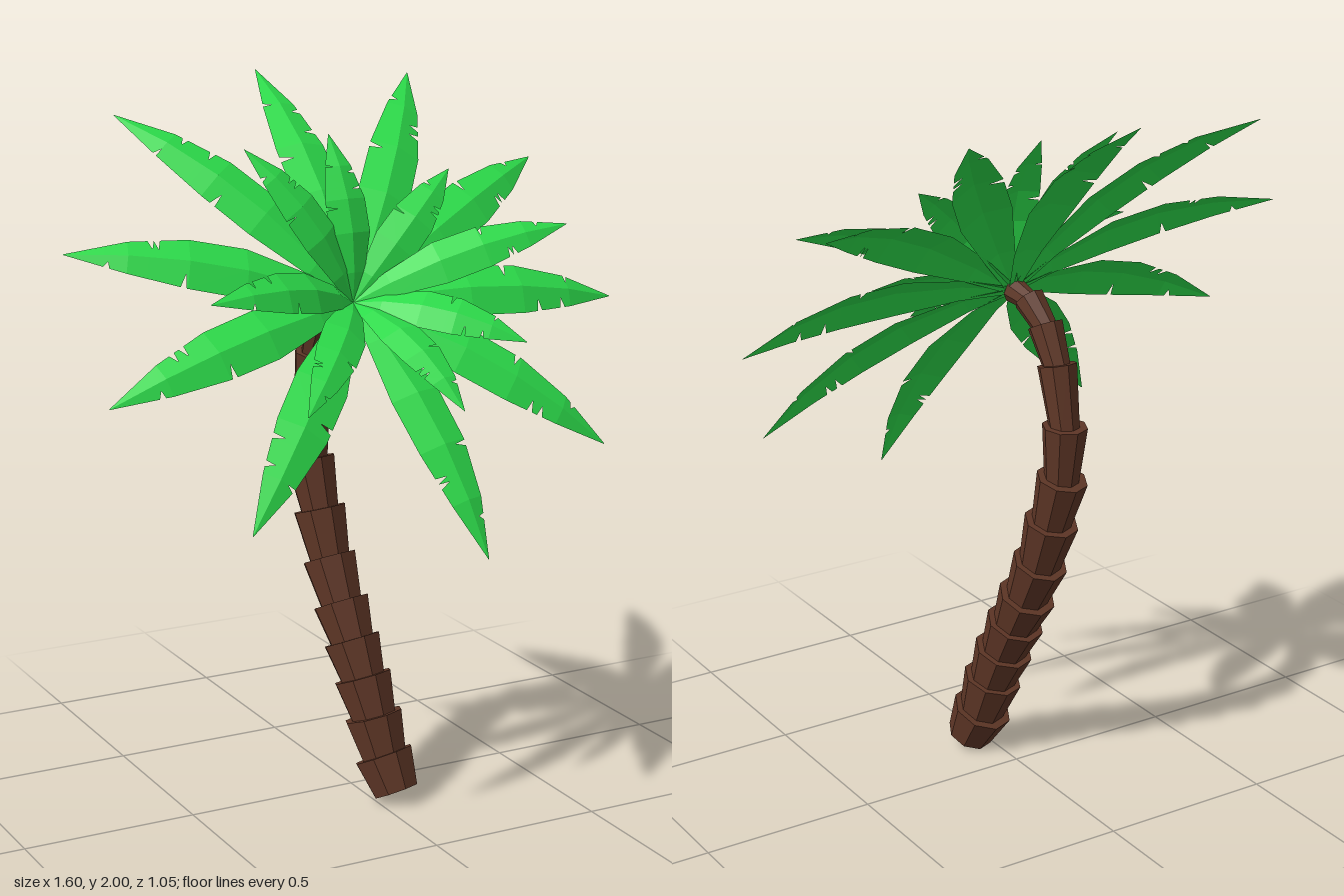
import * as THREE from 'three';

const bark = new THREE.MeshStandardMaterial({ color: 0x5e3626, flatShading: true });
const leaf = new THREE.MeshStandardMaterial({ color: 0x2cdb4a, flatShading: true, side: THREE.DoubleSide });

const crown = new THREE.Vector3(-0.02, 1.425, 0.05);
const crownAxis = new THREE.Vector3(0, 0.6, 0.8).normalize();

// Centre line of the leaning trunk: x, y, z, rim radius
const trunkPath = [
  [0.055, 0.028, 0.17, 0.07], [0.04, 0.115, 0.13, 0.088], [0.025, 0.225, 0.095, 0.086],
  [0.012, 0.33, 0.055, 0.086], [0, 0.43, 0.012, 0.085], [-0.01, 0.53, -0.035, 0.084],
  [-0.02, 0.65, -0.088, 0.08], [-0.03, 0.785, -0.13, 0.078], [-0.04, 0.925, -0.168, 0.073],
  [-0.043, 1.08, -0.178, 0.064], [-0.045, 1.245, -0.138, 0.056], [-0.043, 1.345, -0.085, 0.05],
  [-0.035, 1.405, -0.02, 0.044], [-0.027, 1.42, 0.04, 0.036],
];

// Each trunk ring is a cup that flares towards its upper rim
function makeTrunk() {
  const trunk = new THREE.Group();
  trunk.name = 'trunk';
  for (let i = 0; i < trunkPath.length - 1; i++) {
    const a = new THREE.Vector3(...trunkPath[i]);
    const b = new THREE.Vector3(...trunkPath[i + 1]);
    const dir = b.clone().sub(a);
    const length = dir.length() + 0.012;
    const rim = trunkPath[i + 1][3];
    const ring = new THREE.Mesh(new THREE.CylinderGeometry(rim, rim * 0.76, length, 8), bark);
    ring.name = 'trunkRing';
    dir.normalize();
    ring.quaternion.setFromUnitVectors(new THREE.Vector3(0, 1, 0), dir);
    ring.position.copy(a).addScaledVector(dir, length / 2);
    trunk.add(ring);
  }
  return trunk;
}

// Half width of a blade along its length
const outline = [[0, 0.015], [0.17, 0.045], [0.4, 0.076], [0.6, 0.074], [0.8, 0.048], [1, 0.001]];
function lerp(table, t) {
  const i = Math.max(1, table.findIndex(p => p[0] >= t));
  const [t0, v0] = table[i - 1], [t1, v1] = table[i];
  return v0 + (v1 - v0) * (t - t0) / (t1 - t0);
}

// A drooping blade, folded along its midrib, with a few thin tears in its edges
function makeFrond(tip, width, bow, index) {
  const span = new THREE.Vector3(...tip).sub(crown);
  const length = span.length();
  const dir = span.clone().normalize();
  const side = new THREE.Vector3().crossVectors(dir, crownAxis).normalize();
  const up = new THREE.Vector3().crossVectors(side, dir);
  // The midrib bends only at the main cross-sections
  const bend = outline.map(([t]) => [t, 4 * t * (1 - t) * bow * length]);
  const shift = (index % 3) * 0.03;
  const tears = [[0.55 + shift, -1], [0.66 + shift, 1], [0.8 + shift, -1], [0.76 - shift, 1]];

  // Rows of [t, left share of width, right share of width]
  const rows = outline.map(([t]) => [t, 1, 1]);
  for (const [t, s] of tears) {
    rows.push([t - 0.006, 1, 1], [t, s < 0 ? 0.5 : 1, s > 0 ? 0.5 : 1], [t + 0.014, 1, 1]);
  }
  rows.sort((p, q) => p[0] - q[0]);

  const position = [], index3 = [];
  rows.forEach(([t, left, right], r) => {
    const mid = crown.clone().addScaledVector(span, t).addScaledVector(up, lerp(bend, t));
    const w = lerp(outline, t) * width;
    for (const share of [-left, 0, right]) {
      const p = mid.clone().addScaledVector(side, share * w).addScaledVector(up, -0.28 * Math.abs(share) * w);
      position.push(p.x, p.y, p.z);
    }
    if (r === 0) return;
    for (let c = 0; c < 2; c++) {
      const a = (r - 1) * 3 + c, b = a + 3;
      index3.push(a, a + 1, b, a + 1, b + 1, b);
    }
  });
  const geometry = new THREE.BufferGeometry();
  geometry.setAttribute('position', new THREE.Float32BufferAttribute(position, 3));
  geometry.setIndex(index3);
  geometry.computeVertexNormals();
  return new THREE.Mesh(geometry, leaf);
}

// Blade tips of the wide outer ring and of the smaller inner ring
const outerTips = [
  [-0.03, 2, -0.53], [0.4, 1.98, -0.41], [0.7, 1.74, -0.22], [0.8, 1.37, 0.07],
  [0.61, 1.02, 0.35], [0.14, 0.8, 0.52], [-0.51, 0.93, 0.43], [-0.79, 1.24, 0.17],
  [-0.8, 1.6, -0.1], [-0.54, 1.92, -0.36],
];
const innerTips = [
  [-0.03, 1.87, -0.075], [0.31, 1.76, -0.01], [0.56, 1.62, 0.21], [0.34, 1.34, 0.37],
  [0.09, 1.2, 0.47], [-0.36, 1.23, 0.45], [-0.55, 1.51, 0.28], [-0.3, 1.85, -0.04],
];

export function createModel() {
  const palm = new THREE.Group();
  palm.name = 'palmTree';
  palm.add(makeTrunk());

  const fronds = new THREE.Group();
  fronds.name = 'fronds';
  const addRing = (tips, name, width, bow) => tips.forEach((tip, i) => {
    const frond = makeFrond(tip, width, bow, i);
    frond.name = name;
    fronds.add(frond);
  });
  addRing(outerTips, 'outerFrond', 1, 0.1);
  addRing(innerTips, 'innerFrond', 0.82, 0.13);
  palm.add(fronds);
  return palm;
}
